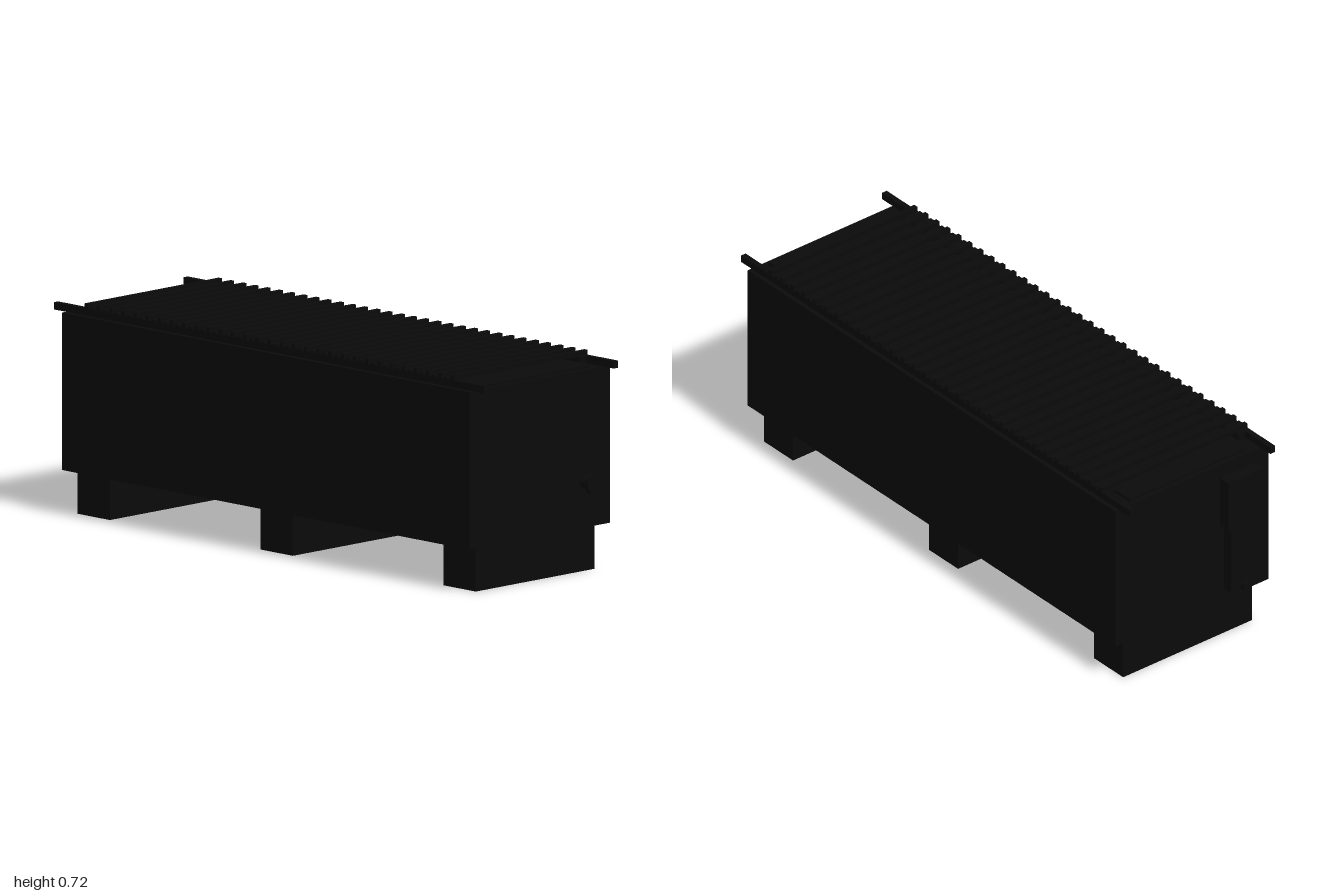
import * as THREE from 'three';

export function createModel() {
  const root = new THREE.Group();
  const black = new THREE.MeshStandardMaterial({ color: 0x0b0b0b });
  black.name = 'black metal';

  // Box given by its minimum and maximum on each axis
  function box(name, x0, x1, y0, y1, z0, z1, parent = root) {
    const mesh = new THREE.Mesh(new THREE.BoxGeometry(x1 - x0, y1 - y0, z1 - z0), black);
    mesh.position.set((x0 + x1) / 2, (y0 + y1) / 2, (z0 + z1) / 2);
    mesh.name = name;
    parent.add(mesh);
    return mesh;
  }

  // Disc or rod lying along x
  function rod(name, x0, x1, y, z, r, parent = root) {
    const mesh = new THREE.Mesh(new THREE.CylinderGeometry(r, r, x1 - x0, 24), black);
    mesh.rotation.z = Math.PI / 2;
    mesh.position.set((x0 + x1) / 2, y, z);
    mesh.name = name;
    parent.add(mesh);
    return mesh;
  }

  // Main housing with a slightly raised deck under the grate
  box('housing', -0.947, 0.947, 0.15, 0.675, -0.324, 0.324);
  box('deck', -0.93, 0.93, 0.675, 0.685, -0.25, 0.25);

  // Three cross feet
  for (const x of [-0.85, 0, 0.85]) box('foot', x - 0.075, x + 0.075, 0, 0.15, -0.273, 0.273);

  // Long carrying rails with a wider ledge on the inside
  for (const s of [-1, 1]) {
    const z = s * 0.299;
    box('rail', -1, 1, 0.676, 0.7, z - 0.01, z + 0.01);
    const inner = s * 0.275;
    box('railLedge', -0.87, 0.87, 0.675, 0.7, inner - 0.015, inner + 0.015);
  }

  // Grate: tall cross bars with low bars between them
  const grate = new THREE.Group();
  grate.name = 'grate';
  root.add(grate);
  const count = 31, pitch = 1.7 / (count - 1);
  for (let i = 0; i < count; i++) {
    const x = -0.85 + i * pitch;
    box('grateBar', x - 0.008, x + 0.008, 0.7, 0.716, -0.309, 0.309, grate);
    if (i < count - 1) {
      const m = x + pitch / 2;
      box('lowBar', m - 0.008, m + 0.008, 0.699, 0.706, -0.309, 0.309, grate);
    }
  }

  // Control box on one end, with a narrower lower part and an outlet
  const control = new THREE.Group();
  control.name = 'controlBox';
  root.add(control);
  box('controlUpper', -0.99, -0.946, 0.44, 0.625, 0.12, 0.27, control);
  box('controlLower', -0.985, -0.946, 0.19, 0.44, 0.135, 0.255, control);
  rod('outlet', -1, -0.946, 0.2, 0.195, 0.018, control);

  // Drain tap on the other end
  const tap = new THREE.Group();
  tap.name = 'tap';
  root.add(tap);
  rod('tapStem', 0.946, 0.985, 0.302, -0.203, 0.018, tap);
  rod('tapFlange', 0.985, 1, 0.302, -0.203, 0.034, tap);

  return root;
}
